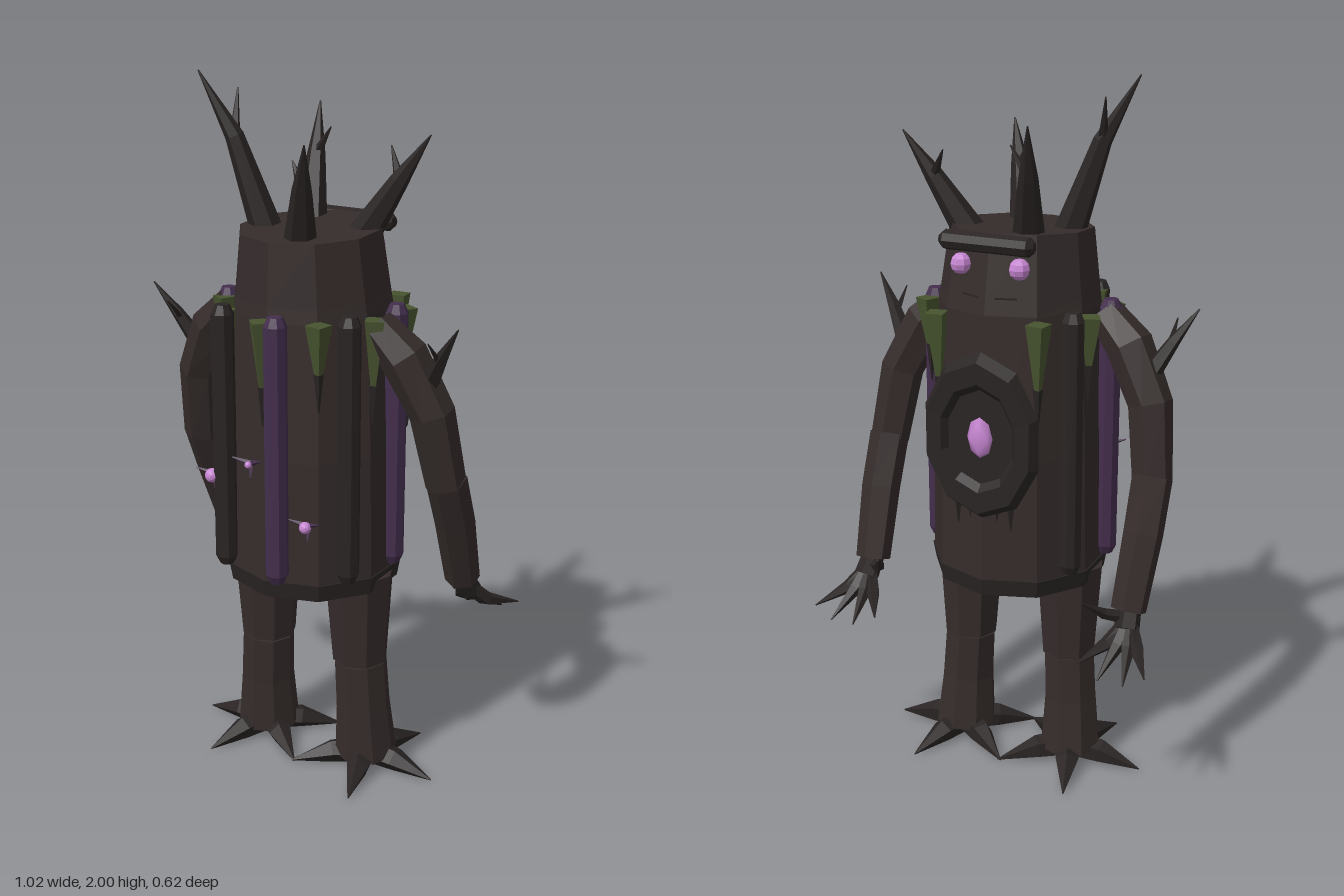
import * as THREE from 'three';

const mat = (name, color) => Object.assign(new THREE.MeshStandardMaterial({ color }), { name });
const V = (p) => new THREE.Vector3(...p);

// Faceted copy of a built-in geometry
function flat(geo) {
  const g = geo.index ? geo.toNonIndexed() : geo;
  g.computeVertexNormals();
  return g;
}

// Faceted limb: polygon rings along a path, closed at both ends
function limb(path, radii, sides = 6) {
  const pts = path.map(V);
  const last = pts.length - 1;
  const dir = pts[last].clone().sub(pts[0]).normalize();
  const ref = Math.abs(dir.z) > 0.8 ? V([0, 1, 0]) : V([0, 0, 1]);
  const rings = pts.map((p, i) => {
    const t = pts[Math.min(i + 1, last)].clone().sub(pts[Math.max(i - 1, 0)]).normalize();
    const n = ref.clone().addScaledVector(t, -ref.dot(t)).normalize();
    const b = t.clone().cross(n);
    return Array.from({ length: sides }, (_, j) => {
      const a = (j / sides) * Math.PI * 2;
      return p.clone().addScaledVector(n, Math.cos(a) * radii[i]).addScaledVector(b, Math.sin(a) * radii[i]);
    });
  });
  const tris = [];
  for (let j = 0; j < sides; j++) {
    const k = (j + 1) % sides;
    for (let i = 0; i < last; i++) {
      const [a, b, c, d] = [rings[i][j], rings[i][k], rings[i + 1][k], rings[i + 1][j]];
      tris.push(a, b, c, a, c, d);
    }
    tris.push(pts[0], rings[0][k], rings[0][j], pts[last], rings[last][j], rings[last][k]);
  }
  const g = new THREE.BufferGeometry().setFromPoints(tris);
  g.computeVertexNormals();
  return g;
}

export function createModel() {
  const root = new THREE.Group();
  root.name = 'treeCreature';
  const bark = mat('bark', 0x352c2b);
  const darkBark = mat('darkBark', 0x2a2424);
  const purple = mat('purpleBark', 0x432e4c);
  const moss = mat('moss', 0x47532f);
  const glow = mat('glow', 0xc887d3);

  const add = (parent, name, geo, material, pos) => {
    const m = new THREE.Mesh(geo, material);
    m.name = name;
    if (pos) m.position.set(...pos);
    parent.add(m);
    return m;
  };
  const group = (name, parent = root) => {
    const g = new THREE.Group();
    g.name = name;
    parent.add(g);
    return g;
  };
  const TIP = 0.002;

  // Trunk and head
  const CZ = 0.015;
  add(root, 'trunk', limb([[0, 0.64, CZ], [0, 1.0, CZ], [0, 1.4, CZ]], [0.252, 0.245, 0.225], 10), bark);
  add(root, 'trunkBase', limb([[0, 0.6, CZ], [0, 0.65, CZ]], [0.247, 0.256], 10), darkBark);
  add(root, 'head', limb([[0, 1.39, 0.018], [0, 1.43, 0.02], [0, 1.6, 0.03]], [0.226, 0.22, 0.198], 10), bark);

  // Upright bark logs around the trunk
  const logs = group('barkLogs');
  [[0.05, 0.275, 1], [0.21, 0.167, 0], [0.243, -0.02, 1], [-0.213, -0.11, 0], [-0.25, 0.065, 1], [-0.145, 0.24, 0]]
    .forEach(([x, z, isPurple]) => add(logs, isPurple ? 'purpleLog' : 'darkLog',
      limb([[x, 0.66, z], [x, 0.685, z], [x, 1.385, z], [x, 1.41, z]], [0.02, 0.032, 0.032, 0.02], 8),
      isPurple ? purple : darkBark));

  // Hanging moss wedges with a twig below each, none behind the chest shield
  const mossRing = group('mossRing');
  mossRing.position.z = CZ;
  for (let i = 0; i < 10; i++) {
    if (i === 5) continue;
    const holder = group('mossWedge', mossRing);
    holder.rotation.y = (i * Math.PI) / 5;
    const low = i % 2 ? 1.2 : 1.15;
    add(holder, 'moss', limb([[0, low, 0.25], [0, 1.39, 0.255]], [TIP, 0.036], 4), moss);
    add(holder, 'twig', limb([[0, low - 0.05, 0.25], [0, low + 0.06, 0.25]], [TIP, 0.014], 4), darkBark);
  }

  // Branch antlers: [base, bend, tip, twig tip]
  const antlers = group('antlers');
  [
    [[-0.13, 1.58, 0.05], [-0.21, 1.83, 0.08], [-0.3, 2.0, 0.115], [-0.24, 1.95, 0.02]],
    [[-0.07, 1.58, -0.08], [-0.105, 1.76, -0.16], [-0.13, 1.9, -0.22], [-0.05, 1.84, -0.15]],
    [[0.04, 1.58, 0.14], [0.085, 1.73, 0.2], [0.125, 1.85, 0.25], [0.05, 1.8, 0.19]],
    [[0.13, 1.58, -0.03], [0.22, 1.73, -0.06], [0.295, 1.85, -0.09], [0.16, 1.81, -0.12]],
  ].forEach(([base, bend, tip, twig]) => {
    add(antlers, 'antler', limb([base, bend, tip], [0.045, 0.026, TIP], 6), darkBark);
    add(antlers, 'antlerTwig', limb([bend, twig], [0.016, TIP], 5), darkBark);
  });

  // Face, on the -z side
  const face = group('face');
  for (const s of [-1, 1]) {
    add(face, 'eye', flat(new THREE.SphereGeometry(0.029, 8, 6)), glow, [s * 0.085, 1.525, -0.17]);
    const mouth = add(face, 'mouthSlot', new THREE.BoxGeometry(0.06, 0.015, 0.01), darkBark, [s * 0.05, 1.44, -0.178]);
    mouth.rotation.y = s * -0.32;
  }
  add(face, 'brow', limb([[-0.135, 1.59, -0.185], [-0.12, 1.59, -0.187], [0.12, 1.59, -0.187], [0.135, 1.59, -0.185]],
    [0.014, 0.027, 0.027, 0.014], 8), darkBark);

  // Chest shield with glowing core and drips
  const shield = group('chestShield');
  const profile = [[0.14, -0.02], [0.177, 0.028], [0.16, 0.058], [0.115, 0.056], [0.1, 0.036], [0, 0.036]];
  const rim = new THREE.LatheGeometry(profile.map(([x, y]) => new THREE.Vector2(x, y)), 10);
  rim.rotateX(-Math.PI / 2).scale(1, 1.34, 1);
  add(shield, 'shieldPlate', flat(rim), darkBark, [0, 1.07, -0.2]);
  const core = add(shield, 'glowCore', new THREE.OctahedronGeometry(1, 1), glow, [0, 1.07, -0.238]);
  core.geometry.scale(0.038, 0.058, 0.018);
  for (const x of [-0.08, -0.04, 0, 0.04, 0.08])
    add(shield, 'drip', limb([[x, 0.77 + Math.abs(x) * 0.4, -0.215], [x, 0.88, -0.215]], [TIP, 0.012], 4), darkBark);

  // Small glowing buds on thorny stems
  const buds = group('glowBuds');
  [[-0.18, 0.92, 0.255, 0.021], [-0.05, 0.98, 0.265, 0.01], [0.125, 0.83, 0.25, 0.017]].forEach(([x, y, z, r]) => {
    add(buds, 'bud', flat(new THREE.IcosahedronGeometry(r, 1)), glow, [x, y, z]);
    for (const [dx, dy] of [[-0.05, 0.015], [0.045, 0.02], [0.01, -0.035]])
      add(buds, 'budThorn', limb([[x, y, z - 0.015], [x + dx, y + dy, z + 0.005]], [0.009, TIP], 4), purple);
  });

  // Arms, hands, legs and feet, mirrored
  for (const s of [1, -1]) {
    const side = s > 0 ? 'left' : 'right';
    const m = (path) => path.map(([x, y, z]) => [s * x, y, z]);
    const arm = group(side + 'Arm');
    add(arm, 'upperArm', limb(m([[0.23, 1.37, 0.07], [0.31, 1.29, 0.055], [0.385, 1.14, 0.03], [0.412, 0.93, -0.01]]),
      [0.05, 0.066, 0.062, 0.056]), bark);
    add(arm, 'forearm', limb(m([[0.412, 0.945, -0.01], [0.412, 0.8, -0.07], [0.403, 0.6, -0.145]]),
      [0.057, 0.056, 0.05]), bark);
    add(arm, 'shoulderSpike', limb(m([[0.36, 1.19, 0.03], [0.43, 1.31, 0.07], [0.49, 1.4, 0.1]]),
      [0.032, 0.018, TIP], 5), darkBark);
    add(arm, 'shoulderTwig', limb(m([[0.42, 1.29, 0.06], [0.42, 1.36, 0.13]]), [0.012, TIP], 4), darkBark);
    add(arm, 'wrist', limb(m([[0.403, 0.62, -0.13], [0.41, 0.555, -0.175]]), [0.032, 0.036]), darkBark);
    for (const [tx, ty, tz] of [[0.51, 0.49, -0.3], [0.453, 0.46, -0.31], [0.38, 0.46, -0.31], [0.315, 0.49, -0.295]]) {
      const kx = 0.41 + (tx - 0.41) * 0.45;
      add(arm, 'finger', limb(m([[0.41, 0.58, -0.155], [kx, 0.52, -0.21], [tx, ty, tz]]), [0.02, 0.02, TIP], 5), darkBark);
    }
    add(arm, 'thumb', limb(m([[0.4, 0.58, -0.15], [0.35, 0.605, -0.2], [0.315, 0.655, -0.265]]), [0.02, 0.016, TIP], 5), darkBark);

    const leg = group(side + 'Leg');
    add(leg, 'thigh', limb(m([[0.158, 0.63, 0.02], [0.16, 0.35, 0.015]]), [0.1, 0.08], 8), bark);
    add(leg, 'shin', limb(m([[0.163, 0.345, 0.015], [0.17, 0.2, 0.01], [0.175, 0.04, 0.0]]), [0.077, 0.08, 0.093], 8), bark);
    for (let i = 0; i < 5; i++) {
      const a = ((18 + 72 * i) * Math.PI) / 180;
      const at = (r, y) => [0.175 + Math.sin(a) * r, y, Math.cos(a) * r];
      add(leg, 'rootToe', limb(m([at(0.02, 0.04), at(0.1, 0.035), at(0.222, 0.006)]), [0.04, 0.035, TIP], 5), darkBark);
    }
  }
  return root;
}
